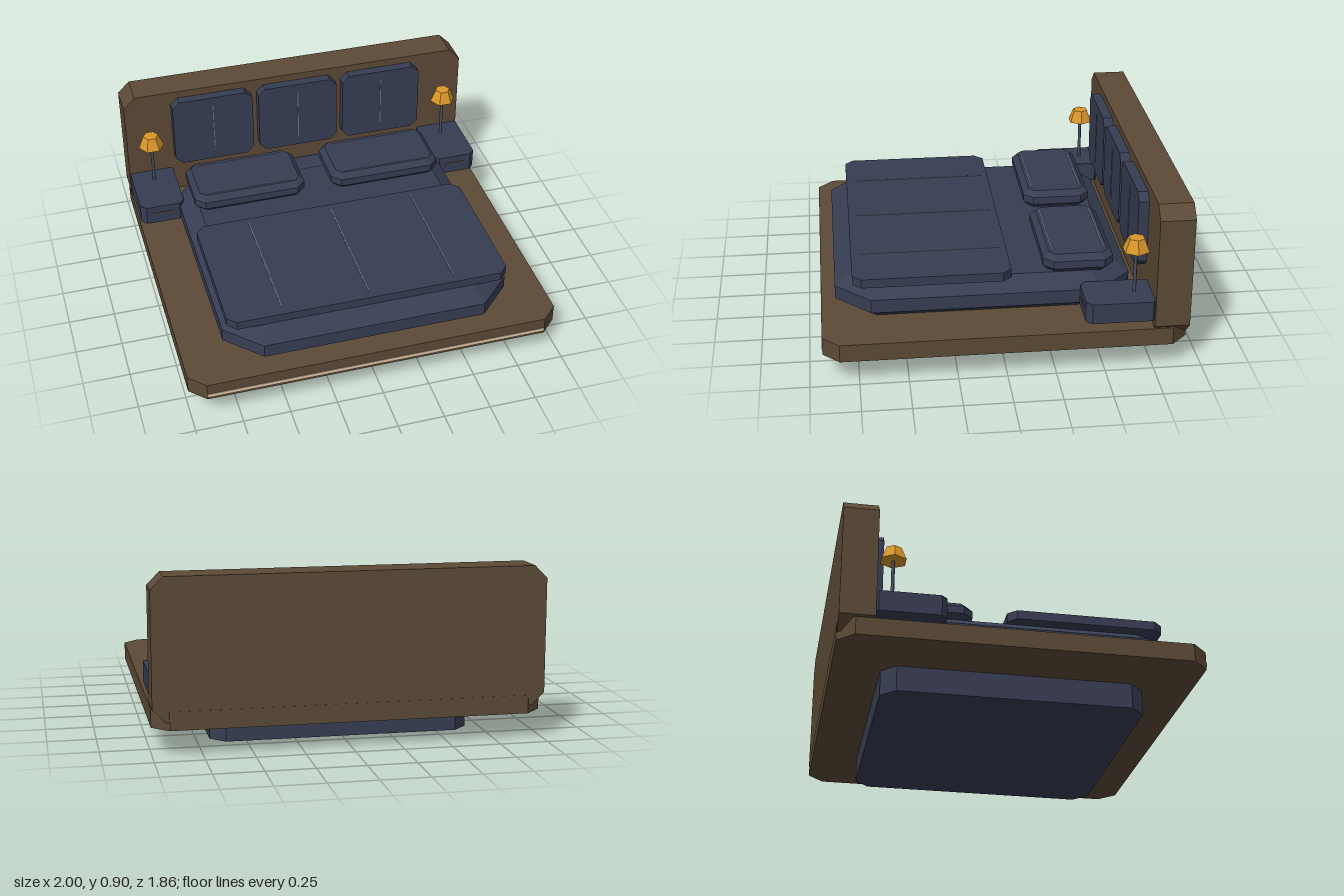
import * as THREE from 'three';

const material = (name, color) => {
  const m = new THREE.MeshStandardMaterial({ color });
  m.name = name;
  return m;
};

// Rectangle with its four corners cut at 45 degrees
function cutRectangle(w, h, cut) {
  const x = w / 2, y = h / 2;
  return new THREE.Shape([
    [x, -y + cut], [x, y - cut], [x - cut, y], [-x + cut, y],
    [-x, y - cut], [-x, -y + cut], [-x + cut, -y], [x - cut, -y],
  ].map(([a, b]) => new THREE.Vector2(a, b)));
}

// Cut-cornered block, centred, with depth along z and an optional one-step bevel
function cutBlock(w, h, depth, cut, inset = 0, bevel = 0) {
  const g = new THREE.ExtrudeGeometry(cutRectangle(w, h, cut), {
    depth: depth - 2 * bevel,
    bevelEnabled: bevel > 0,
    bevelSegments: 1,
    bevelSize: inset,
    bevelOffset: -inset,
    bevelThickness: bevel,
  });
  return g.translate(0, 0, bevel - depth / 2);
}

export function createModel() {
  const group = new THREE.Group();
  group.name = 'bed';

  const wood = material('brown wood', 0x5c4a36);
  const fabric = material('navy fabric', 0x373d53);
  const stitch = material('grey stitching', 0x6a7080);
  const amber = material('amber shade', 0xd9972a);
  const metal = material('slate metal', 0x475060);
  const glow = material('cream light', 0xe6cfae);

  const add = (name, geometry, mat, x, y, z) => {
    const mesh = new THREE.Mesh(geometry, mat);
    mesh.name = name;
    mesh.position.set(x, y, z);
    group.add(mesh);
    return mesh;
  };
  // Block lying flat, from y0 to y1
  const slab = (name, mat, x, z, w, d, y0, y1, cut, inset, bevel) =>
    add(name, cutBlock(w, d, y1 - y0, cut, inset, bevel).rotateX(-Math.PI / 2), mat, x, (y0 + y1) / 2, z);
  const plate = (name, mat, x, y, z, w, h, d) =>
    add(name, new THREE.BoxGeometry(w, h, d), mat, x, y, z);

  // Base and light strip
  slab('plinth', fabric, 0, 0, 1.36, 1.36, 0, 0.135, 0.075);
  slab('platform', wood, 0, 0, 2, 1.86, 0.135, 0.23, 0.085);
  plate('lightStrip', glow, 0, 0.161, 0.93, 1.83, 0.016, 0.006);

  // Headboard with three upholstered panels
  add('headboard', cutBlock(2, 0.72, 0.18, 0.065), wood, 0, 0.537, -0.838);
  for (const x of [-0.5, 0, 0.5]) {
    add('headboardPanel', cutBlock(0.465, 0.415, 0.055, 0.04), fabric, x, 0.648, -0.722);
    plate('panelSeam', stitch, x, 0.652, -0.694, 0.005, 0.3, 0.004);
  }

  // Mattress and blanket
  slab('mattress', fabric, 0, 0.085, 1.55, 1.54, 0.215, 0.418, 0.18, 0.09, 0.065);
  plate('mattressSeam', stitch, 0, 0.419, -0.48, 1.1, 0.004, 0.005);
  slab('blanket', fabric, 0, 0.358, 1.515, 0.815, 0.416, 0.464, 0.045);
  for (const x of [-0.465, 0, 0.465]) {
    plate('blanketSeam', stitch, x, 0.465, 0.35, 0.006, 0.004, 0.73);
  }

  // Mirrored parts: pillows, nightstands, lamps
  for (const s of [-1, 1]) {
    slab('pillow', fabric, s * 0.394, -0.404, 0.63, 0.365, 0.415, 0.516, 0.05, 0.03, 0.03);
    for (const z of [-0.54, -0.268]) {
      plate('pillowSeam', stitch, s * 0.394, 0.517, z, 0.48, 0.004, 0.005);
    }

    slab('nightstand', fabric, s * 0.873, -0.582, 0.25, 0.37, 0.275, 0.384, 0.03);
    plate('drawerHandle', wood, s * 0.873, 0.338, -0.396, 0.11, 0.008, 0.006);

    add('lampStem', new THREE.CylinderGeometry(0.009, 0.009, 0.25, 6), metal, s * 0.873, 0.508, -0.66);
    const shade = new THREE.CylinderGeometry(0.043, 0.072, 0.07, 6).rotateY(Math.PI / 6).toNonIndexed();
    shade.computeVertexNormals();
    add('lampShade', shade, amber, s * 0.873, 0.654, -0.66);
  }

  return group;
}
